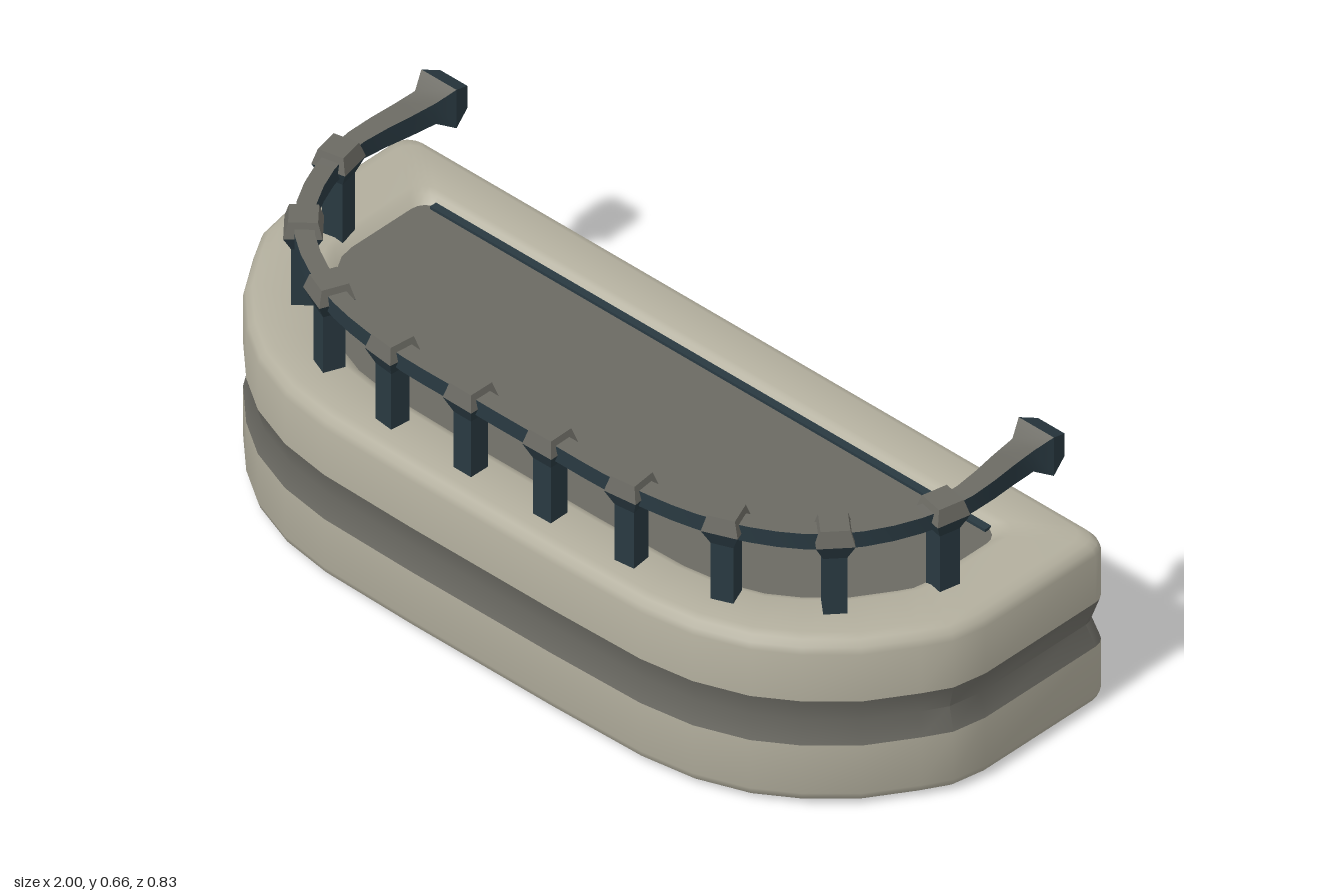
import * as THREE from 'three';
import { toCreasedNormals } from 'three/addons/utils/BufferGeometryUtils.js';

const V = (x, y, z) => new THREE.Vector3(x, y, z);

// Right half of the plan outline (x, z), from the front centre to the back corner
const HALF = [[0.2, 0.41], [0.45, 0.405], [0.58, 0.385], [0.7, 0.34], [0.79, 0.28],
  [0.88, 0.195], [0.95, 0.09], [0.985, 0.03], [1, -0.05], [1, -0.42]];
const PLAN = [...HALF, ...HALF.map(([x, z]) => [-x, z]).reverse()];

// Plan outline moved inwards by d, with the two back corners rounded
function outline(d) {
  const n = PLAN.length;
  const lines = PLAN.map((p, i) => {
    const q = PLAN[(i + 1) % n];
    const ex = q[0] - p[0], ez = q[1] - p[1], l = Math.hypot(ex, ez);
    const nx = -ez / l, nz = ex / l;
    const inset = d * (1 + 0.1 * Math.abs(nx) - 0.18 * Math.max(0, -nz));
    return { nx, nz, c: nx * p[0] + nz * p[1] - inset };
  });
  const pts = lines.map((b, i) => {
    const a = lines[(i + n - 1) % n];
    const det = a.nx * b.nz - a.nz * b.nx;
    return [(a.c * b.nz - a.nz * b.c) / det, (a.nx * b.c - a.c * b.nx) / det];
  });
  const out = [], r = 0.04;
  pts.forEach(([x, z], i) => {
    if (i !== HALF.length - 1 && i !== HALF.length) return out.push([x, z]);
    const s = Math.sign(x), arc = [];
    for (let k = 0; k <= 4; k++) {
      const a = k * Math.PI / 8;
      arc.push([x - s * r * (1 - Math.cos(a)), z + r * (1 - Math.sin(a))]);
    }
    out.push(...(s > 0 ? arc : arc.reverse()));
  });
  return out;
}

// Surface through successive rings of points
function skin(rings, closed, crease = 0.6) {
  const m = rings[0].length, idx = [];
  for (let j = 0; j + 1 < rings.length; j++) {
    for (let i = 0; i < (closed ? m : m - 1); i++) {
      const k = (i + 1) % m;
      const a = j * m + i, b = j * m + k, c = b + m, d = a + m;
      idx.push(a, b, c, a, c, d);
    }
  }
  const g = new THREE.BufferGeometry().setFromPoints(rings.flat());
  g.setIndex(idx);
  return toCreasedNormals(g, crease);
}

// Square tapering block given by half widths and heights
function block(top, bottom, y0, y1) {
  const s = Math.SQRT2;
  const g = new THREE.CylinderGeometry(top * s, bottom * s, y1 - y0, 4, 1)
    .rotateY(Math.PI / 4).translate(0, (y0 + y1) / 2, 0).toNonIndexed();
  g.computeVertexNormals();
  return g;
}

export function createModel() {
  const group = new THREE.Group();
  const material = (name, color) => {
    const m = new THREE.MeshStandardMaterial({ color });
    m.name = name;
    return m;
  };
  const stone = material('pale stone', 0xb3af9e);
  const grey = material('grey stone', 0x6b6a63);
  const iron = material('dark blue iron', 0x293941);
  const add = (name, geometry, mat, parent = group) => {
    const mesh = new THREE.Mesh(geometry, mat);
    mesh.name = name;
    parent.add(mesh);
    return mesh;
  };

  // Slab: profiles of [inset, height], running up the outside
  const band = (name, profile, mat) => add(name, skin(
    profile.map(([d, y]) => outline(d).map(([x, z]) => V(x, y, z))), true), mat);
  band('lowerSlab', [[0.165, 0.02], [0.15, 0.006], [0.135, 0], [0.035, 0], [0.017, 0.005],
    [0.005, 0.016], [0, 0.032], [0, 0.157]], stone);
  band('groove', [[0, 0.157], [0.015, 0.212], [0, 0.272]], grey);
  band('upperSlab', [[0, 0.272], [0, 0.393], [0.005, 0.408], [0.017, 0.42], [0.035, 0.425],
    [0.135, 0.425], [0.15, 0.419], [0.165, 0.405]], stone);

  // Sunken floor and underside panel
  const panel = (name, y, up) => {
    const shape = new THREE.Shape(outline(0.165)
      .map(([x, z]) => new THREE.Vector2(x, up ? -z : z)));
    add(name, new THREE.ShapeGeometry(shape)
      .rotateX(up ? -Math.PI / 2 : Math.PI / 2).translate(0, y, 0), grey);
  };
  panel('floor', 0.405, true);
  panel('undersidePanel', 0.02, false);
  add('thresholdStrip', new THREE.BoxGeometry(1.58, 0.008, 0.018), iron)
    .position.set(0, 0.408, -0.279);

  // Railing path through the post positions
  const right = [[0.113, 0.32], [0.34, 0.315], [0.565, 0.268], [0.755, 0.145], [0.86, -0.07]];
  const posts = [...right.map(([x, z]) => [-x, z]).reverse(), ...right];
  const curve = new THREE.CatmullRomCurve3(
    [[-0.85, -0.32], ...posts, [0.85, -0.32]].map(([x, z]) => V(x, 0.61, z)));

  // Handrail sections: [point, tangent, half width, half height], flaring into end knobs
  const sections = [];
  const N = 44;
  for (let i = 0; i <= N; i++) {
    const p = curve.getPoint(i / N);
    const t = curve.getTangent(i / N).setY(0).normalize();
    const k = THREE.MathUtils.clamp((-0.07 - p.z) / 0.25, 0, 1);
    if (i === 0) t.set(0, 0, 1);
    if (i === N) t.set(0, 0, -1);
    sections.push([p, t, 0.021 + 0.009 * k, 0.02 + 0.007 * k]);
  }
  const knob = [[-0.36, 0.05, 0.05], [-0.405, 0.038, 0.029], [-0.405, 0, 0]];
  for (const [z, w, h] of knob) {
    sections.push([V(0.85, 0.61, z), V(0, 0, -1), w, h]);
    sections.unshift([V(-0.85, 0.61, z), V(0, 0, 1), w, h]);
  }
  const rings = sections.map(([p, t, w, h]) => {
    const corner = (a, b) => V(p.x - t.z * w * a, p.y + h * b, p.z + t.x * w * a);
    return [corner(-1, 1), corner(1, 1), corner(1, -1), corner(-1, -1)];
  });
  const last = rings.length - 1;
  const tops = rings.map(r => [r[0], r[1]]);
  add('handrailTop', skin(tops.slice(2, last - 1), false), grey);
  add('handrailSides', skin(rings.map(r => [r[1], r[2], r[3], r[0]]), false), iron);
  add('leftKnobTop', skin(tops.slice(last - 2), false), iron);
  add('rightKnobTop', skin(tops.slice(0, 3), false), iron);

  // Posts with flared caps
  const shaft = block(0.025, 0.025, 0.415, 0.575);
  const capLow = block(0.041, 0.025, 0.57, 0.608);
  const capHigh = block(0.031, 0.041, 0.608, 0.645);
  posts.forEach(([x, z], i) => {
    const t = curve.getTangent((i + 1) / (posts.length + 1));
    const post = new THREE.Group();
    post.name = 'post' + (i + 1);
    post.position.set(x, 0, z);
    post.rotation.y = Math.atan2(-t.z, t.x);
    add('shaft', shaft, iron, post);
    add('capLower', capLow, iron, post);
    add('capUpper', capHigh, grey, post);
    group.add(post);
  });
  return group;
}
